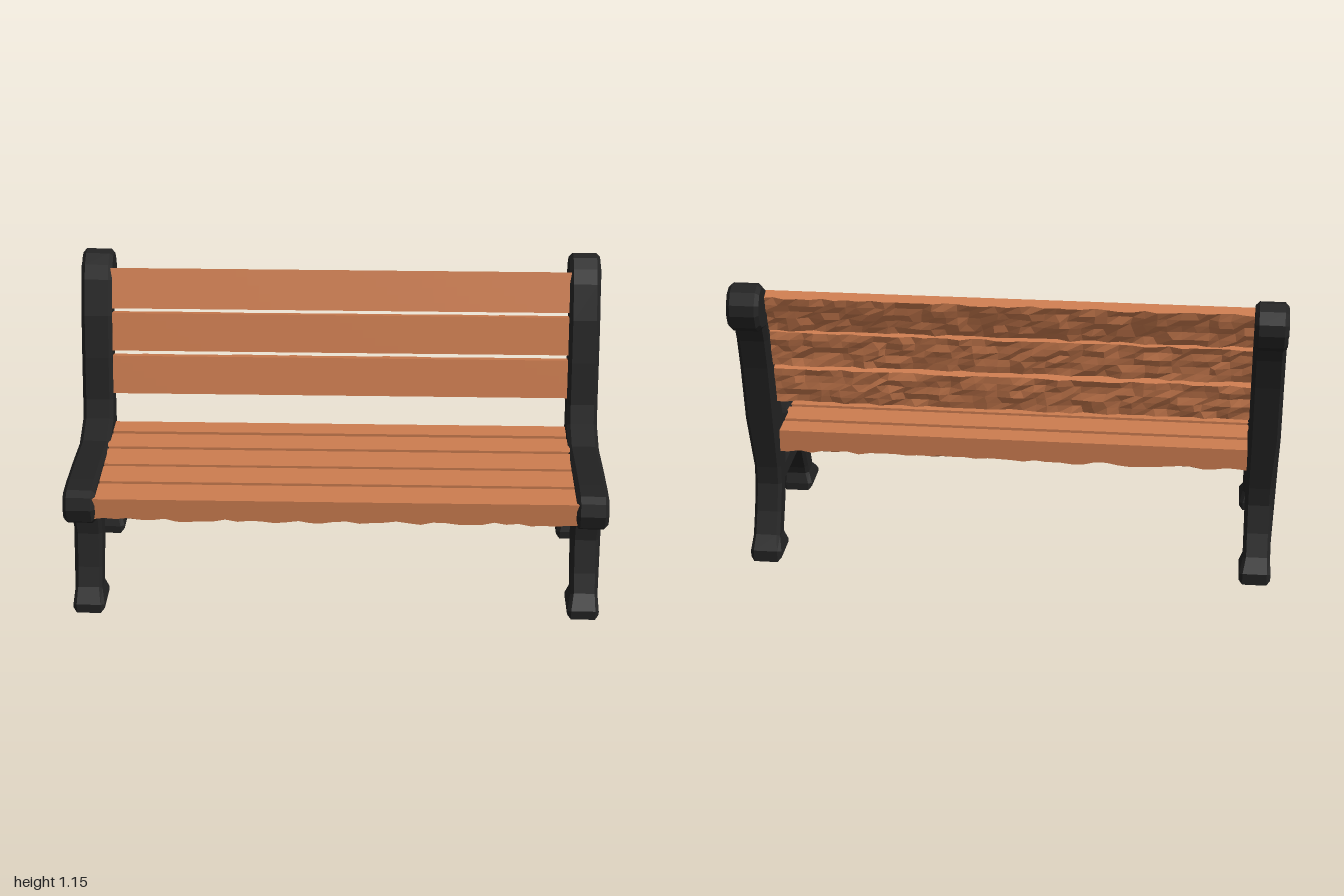
import * as THREE from 'three';

const wood = new THREE.MeshStandardMaterial({ color: 0xcd7d50 });
wood.name = 'warm wood';
wood.flatShading = true;
const iron = new THREE.MeshStandardMaterial({ color: 0x222222 });
iron.name = 'black iron';
iron.flatShading = true;

// Side outline of the iron frame as [z, y]
const OUTLINE = [
  [0.466, 0.45], [0.45, 0.495], [0.42, 0.512], [0.34, 0.516], [0.17, 0.51], [-0.02, 0.497],
  [-0.13, 0.54], [-0.155, 0.61], [-0.19, 0.77], [-0.23, 0.93], [-0.28, 1.06], [-0.31, 1.11],
  [-0.355, 1.14], [-0.39, 1.147], [-0.43, 1.13], [-0.458, 1.09], [-0.464, 1.05], [-0.445, 1.0],
  [-0.41, 0.975], [-0.35, 0.96], [-0.325, 0.9], [-0.295, 0.78], [-0.255, 0.55], [-0.225, 0.34],
  [-0.225, 0.27], [-0.26, 0.17], [-0.3, 0.09], [-0.35, 0.045], [-0.35, 0], [-0.19, 0],
  [-0.19, 0.03], [-0.205, 0.07], [-0.165, 0.15], [-0.14, 0.2], [-0.13, 0.26], [-0.11, 0.38],
  [0.08, 0.385], [0.17, 0.4], [0.2, 0.27], [0.22, 0.2], [0.27, 0.1], [0.28, 0.07],
  [0.265, 0.03], [0.265, 0], [0.435, 0], [0.435, 0.035], [0.38, 0.08], [0.35, 0.15],
  [0.31, 0.27], [0.31, 0.4], [0.335, 0.385], [0.38, 0.375], [0.42, 0.377], [0.455, 0.4],
];

function add(group, name, geometry, material, x = 0, y = 0, z = 0) {
  const mesh = new THREE.Mesh(geometry, material);
  mesh.name = name;
  mesh.position.set(x, y, z);
  group.add(mesh);
  return mesh;
}

// Repeatable noise from a position, 0..1
function noise(a, b) {
  const s = Math.sin(Math.round(a * 500) * 12.9898 + Math.round(b * 500) * 78.233) * 43758.5453;
  return s - Math.floor(s);
}

// Bevelled casting, a little slimmer at the legs
function frameGeometry(side) {
  const shape = new THREE.Shape(OUTLINE.map(([z, y]) => new THREE.Vector2(z, y)));
  const geo = new THREE.ExtrudeGeometry(shape, {
    depth: 0.09, bevelEnabled: true, bevelThickness: 0.014, bevelSize: 0.014,
    bevelOffset: -0.014, bevelSegments: 1, curveSegments: 1,
  });
  geo.translate(0, 0, -0.045);
  geo.rotateY(-Math.PI / 2);
  const p = geo.attributes.position;
  for (let i = 0; i < p.count; i++) {
    const y = p.getY(i);
    const [centre, half] = y > 0.36 ? [0.94, 0.059] : y > 0.06 ? [0.932, 0.051] : [0.927, 0.059];
    p.setX(i, side * centre + (p.getX(i) / 0.059) * half);
  }
  geo.computeVertexNormals();
  return geo;
}

// Plank with a rough, hewn rear face
function plankGeometry(height, depth, seed) {
  const geo = new THREE.BoxGeometry(1.79, height, depth, 40, 5, 1);
  const p = geo.attributes.position;
  for (let i = 0; i < p.count; i++) {
    if (p.getZ(i) > 0) continue;
    const x = p.getX(i), y = p.getY(i);
    p.setZ(i, p.getZ(i) + 0.014 * noise(x + seed, y));
    if (Math.abs(x) < 0.89 && Math.abs(y) < height * 0.45) {
      p.setX(i, x + 0.03 * (noise(x, y + seed) - 0.5));
    }
  }
  const flat = geo.toNonIndexed();
  flat.computeVertexNormals();
  return flat;
}

export function createModel() {
  const bench = new THREE.Group();
  bench.name = 'bench';

  // Iron ends
  for (const side of [1, -1]) {
    const end = new THREE.Group();
    end.name = side > 0 ? 'leftEnd' : 'rightEnd';
    bench.add(end);
    add(end, 'frame', frameGeometry(side), iron);
    add(end, 'stretcher', new THREE.BoxGeometry(0.05, 0.056, 0.38), iron, side * 0.932, 0.233, 0.04);

    // Scroll rings and bolt heads
    for (const [z, y, r] of [[-0.37, 1.06, 0.05], [0.385, 0.443, 0.04]]) {
      const ring = add(end, 'scrollRing', new THREE.TorusGeometry(r, 0.008, 4, 8), iron, side * 0.994, y, z);
      ring.rotation.y = Math.PI / 2;
      const bolt = add(end, 'boltHead', new THREE.CylinderGeometry(r * 0.4, r * 0.55, 0.01, 6), iron, side * 0.995, y, z);
      bolt.rotation.z = -side * Math.PI / 2;
    }
  }

  // Seat slats, rough side down: front and back edges in z
  [[0.447, 0.322], [0.303, 0.178], [0.16, 0.032], [0.012, -0.1], [-0.122, -0.21]].forEach(([front, back], i) => {
    const slat = add(bench, 'seatSlat', plankGeometry(front - back, 0.09, i), wood, 0, 0.445, (front + back) / 2);
    slat.rotation.x = -Math.PI / 2;
  });

  // Back slats: bottom and top of each front face as [z, y]
  [[-0.178, 0.627, -0.21, 0.772], [-0.215, 0.792, -0.25, 0.935], [-0.255, 0.952, -0.31, 1.097]].forEach(([z0, y0, z1, y1], i) => {
    const lean = Math.atan2(z0 - z1, y1 - y0), depth = 0.05;
    const slat = add(bench, 'backSlat', plankGeometry(Math.hypot(z0 - z1, y1 - y0), depth, i + 7), wood, 0,
      (y0 + y1) / 2 - Math.sin(lean) * depth / 2, (z0 + z1) / 2 - Math.cos(lean) * depth / 2);
    slat.rotation.x = -lean;
  });

  return bench;
}
